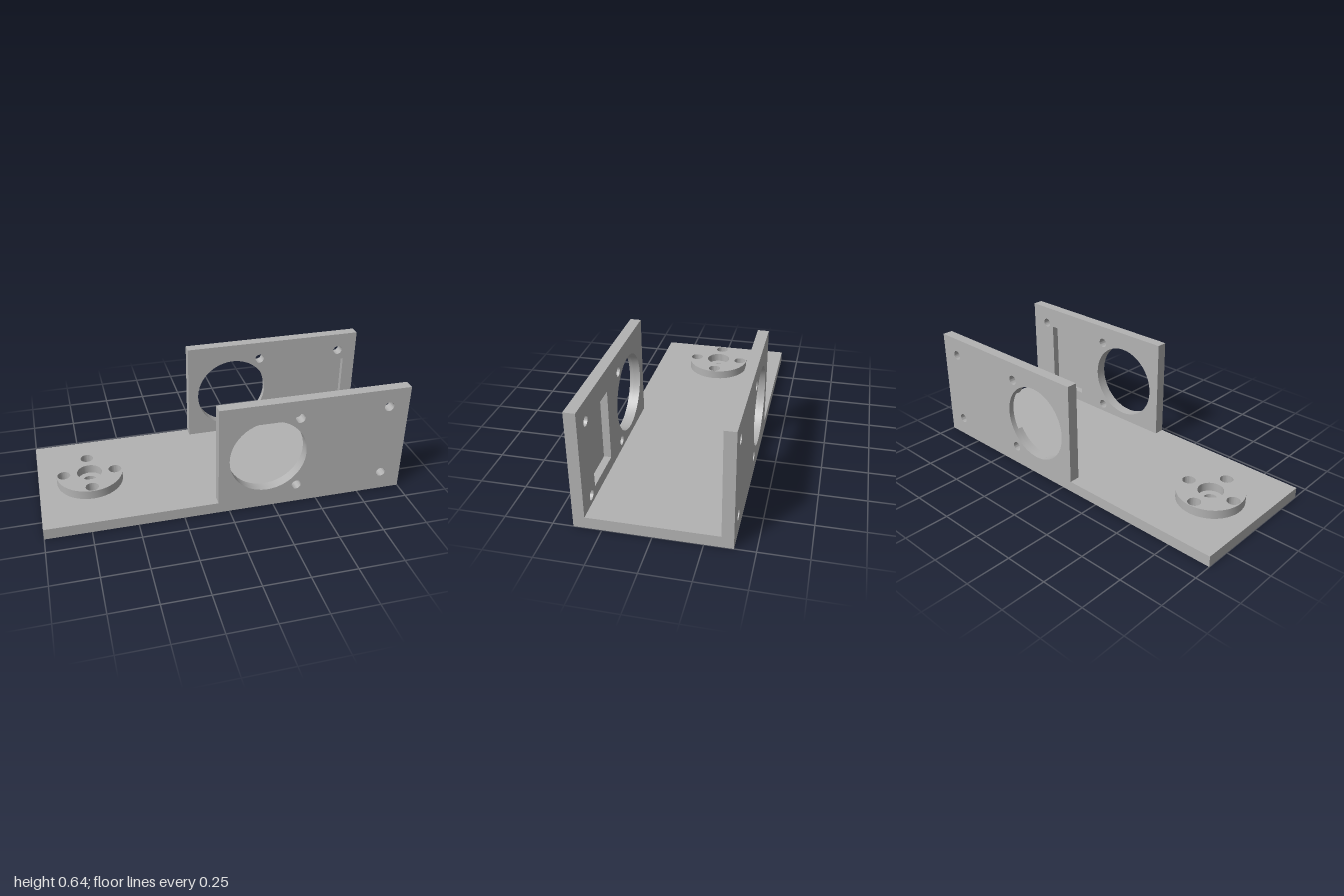
import * as THREE from 'three';
import { toCreasedNormals } from 'three/addons/utils/BufferGeometryUtils.js';

const plastic = new THREE.MeshStandardMaterial({ color: 0xb3b3b3 });
plastic.name = 'grey plastic';

const X0 = -1, X1 = 1, HALF_Z = 0.394, FLOOR = 0.062, TOP = 0.64;
const WALL = 0.06, WALL_X = -0.062;
const WINDOW = { x: 0.212, y: 0.322, r: 0.215 };
const HUB = { x: -0.714, r: 0.185, top: 0.112 };

function circle(x, y, r, Type = THREE.Path) {
  const p = new Type();
  p.absarc(x, y, r, 0, Math.PI * 2, false);
  return p;
}

function rect(x0, y0, x1, y1, Type = THREE.Path) {
  const p = new Type();
  p.moveTo(x0, y0).lineTo(x1, y0).lineTo(x1, y1).lineTo(x0, y1);
  p.closePath();
  return p;
}

function slab(name, shape, holes, depth) {
  shape.holes.push(...holes);
  const flat = new THREE.ExtrudeGeometry(shape, { depth, bevelEnabled: false, curveSegments: 24 });
  const mesh = new THREE.Mesh(toCreasedNormals(flat, 0.5), plastic);
  mesh.name = name;
  return mesh;
}

// Five screw holes: one central, four on a ring
function hubHoles(centreRadius) {
  const holes = [circle(HUB.x, 0, centreRadius)];
  for (let i = 0; i < 4; i++) {
    const a = i * Math.PI / 2;
    holes.push(circle(HUB.x + 0.144 * Math.cos(a), 0.144 * Math.sin(a), 0.036));
  }
  return holes;
}

function screwHoles() {
  return [0.38, 0.884].flatMap(x => [0.11, 0.534].map(y => circle(x, y, 0.027)));
}

const windowHole = () => circle(WINDOW.x, WINDOW.y, WINDOW.r);

// Round window merged with a rectangular pocket that cuts into its rim
function windowWithPocket(x0, y0, x1, y1) {
  const a = Math.acos((x0 - WINDOW.x) / WINDOW.r);
  const p = new THREE.Path();
  p.absarc(WINDOW.x, WINDOW.y, WINDOW.r, a, Math.PI * 2 - a, false);
  p.lineTo(x0, y0).lineTo(x1, y0).lineTo(x1, y1).lineTo(x0, y1);
  p.closePath();
  return p;
}

// A wall is an outer skin plus an inner layer with the pocket cut through it
function wall(name, side, pocketDepth, innerHoles) {
  const group = new THREE.Group();
  group.name = name;
  const outline = () => rect(WALL_X, FLOOR, X1, TOP, THREE.Shape);
  const skinDepth = WALL - pocketDepth;
  const skin = slab(name + 'Skin', outline(), [windowHole(), ...screwHoles()], skinDepth);
  const inner = slab(name + 'Inner', outline(), [...innerHoles, ...screwHoles()], pocketDepth);
  skin.position.z = side > 0 ? HALF_Z - skinDepth : -HALF_Z;
  inner.position.z = side > 0 ? HALF_Z - WALL : -HALF_Z + skinDepth;
  group.add(skin, inner);
  return group;
}

export function createModel() {
  const model = new THREE.Group();
  model.name = 'motorBracket';

  // Base plate and raised hub ring, laid flat
  const base = slab('basePlate', rect(X0, -HALF_Z, X1, HALF_Z, THREE.Shape), hubHoles(0.036), FLOOR);
  base.rotation.x = -Math.PI / 2;
  const hub = slab('hubRing', circle(HUB.x, 0, HUB.r, THREE.Shape), hubHoles(0.07), HUB.top - FLOOR);
  hub.rotation.x = -Math.PI / 2;
  hub.position.y = FLOOR;
  model.add(base, hub);

  // Side walls with inward-facing pockets
  model.add(wall('frontWall', 1, 0.04, [windowHole(), rect(0.57, 0.125, 0.83, 0.52)]));
  model.add(wall('backWall', -1, 0.03, [windowWithPocket(0.395, 0.175, 0.925, 0.472)]));
  return model;
}
